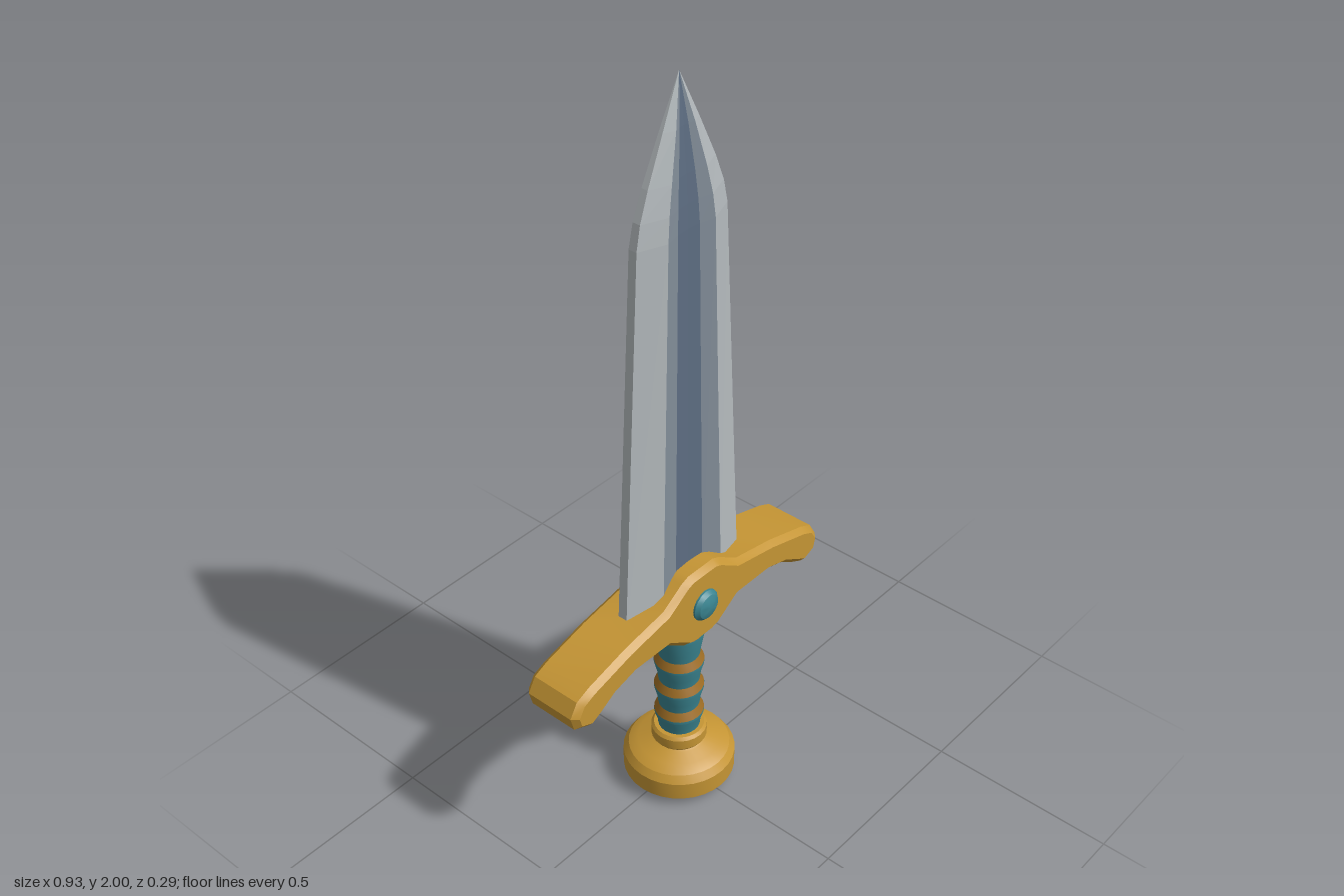
import * as THREE from 'three';
import { toCreasedNormals } from 'three/addons/utils/BufferGeometryUtils.js';

const material = (name, color) => {
  const m = new THREE.MeshStandardMaterial({ color });
  m.name = name;
  return m;
};

export function createModel() {
  const gold = material('gold', 0xc59534);
  const teal = material('teal', 0x3a8490);
  const bronze = material('bronze', 0x9c6c24);
  const lightSteel = material('light steel', 0xb4babd);
  const midSteel = material('mid steel', 0x828d98);
  const darkSteel = material('dark steel', 0x5d6d82);

  const model = new THREE.Group();
  model.name = 'sword';
  const add = (name, geometry, mat, parent = model) => {
    const mesh = new THREE.Mesh(geometry, mat);
    mesh.name = name;
    parent.add(mesh);
    return mesh;
  };
  // Turned part from [radius, height] points, bottom to top
  const turned = (points, sides = 24) => toCreasedNormals(
    new THREE.LatheGeometry(points.map(p => new THREE.Vector2(...p)), sides), 0.4);

  // Blade: rows of [height, half width, thickness scale]
  const rows = [
    [0.6, 0.209, 1], [1.64, 0.149, 0.86], [1.7, 0.136, 0.8],
    [1.77, 0.109, 0.68], [1.88, 0.058, 0.42], [2, 0, 0],
  ];
  // Half cross-section: [fraction of half width, half thickness]
  const section = [[0, 0.03], [0.24, 0.033], [0.52, 0.044], [1, 0.013]];
  const blade = new THREE.Group();
  blade.name = 'blade';
  model.add(blade);

  // One lengthwise strip of the blade between two section points
  const strip = (a, b, out) => {
    const at = ([y, w, t], [fx, z]) => [fx * w, y, z * t];
    for (let i = 0; i < rows.length - 1; i++) {
      const p = at(rows[i], a), q = at(rows[i], b);
      const r = at(rows[i + 1], b), s = at(rows[i + 1], a);
      out.push(...p, ...q, ...r);
      if (rows[i + 1][1] > 0) out.push(...p, ...r, ...s);
    }
  };
  const bladePart = (name, mat, pairs) => {
    const out = [];
    for (const [a, b] of pairs) {
      const mirror = ([x, z]) => [-x, z], turn = ([x, z]) => [-x, -z], back = ([x, z]) => [x, -z];
      strip(a, b, out);
      strip(mirror(b), mirror(a), out);
      strip(turn(a), turn(b), out);
      strip(back(b), back(a), out);
    }
    const g = new THREE.BufferGeometry();
    g.setAttribute('position', new THREE.Float32BufferAttribute(out, 3));
    g.computeVertexNormals();
    add(name, g, mat, blade);
  };
  bladePart('fuller', darkSteel, [[section[0], section[1]]]);
  bladePart('fullerSlopes', midSteel, [[section[1], section[2]]]);
  bladePart('cuttingEdges', lightSteel, [[section[2], section[3]], [section[3], [1, 0]]]);

  // Crossguard: mirrored outline with a chamfered extrusion
  const half = [
    [0.045, 0.72], [0.07, 0.71], [0.135, 0.667], [0.27, 0.642], [0.4, 0.606], [0.44, 0.588],
    [0.463, 0.55], [0.452, 0.51], [0.405, 0.49], [0.37, 0.507], [0.32, 0.537],
    [0.25, 0.556], [0.13, 0.555], [0.06, 0.508], [0.03, 0.5],
  ];
  const outline = [...half, ...half.slice().reverse().map(([x, y]) => [-x, y])];
  const guard = new THREE.ExtrudeGeometry(
    new THREE.Shape(outline.map(p => new THREE.Vector2(...p))),
    { depth: 0.136, bevelEnabled: true, bevelThickness: 0.015, bevelSize: 0.015, bevelOffset: -0.015, bevelSegments: 1 });
  guard.translate(0, 0, -0.068);
  add('crossguard', toCreasedNormals(guard, 0.5), gold);

  // Round gems on both faces of the guard
  for (const side of [1, -1]) {
    const gem = add('gem', turned([[0.043, 0], [0.043, 0.012], [0.034, 0.022], [0.02, 0.028], [0, 0.03]], 16), teal);
    gem.rotation.x = side * Math.PI / 2;
    gem.position.set(0, 0.612, side * 0.076);
  }

  // Grip: flared leather sections, each topped by a sloping bronze ring
  const tops = [0.24, 0.325, 0.41, 0.51];
  let low = 0.16;
  for (const top of tops) {
    const rim = top - 0.022;
    add('gripSection', turned([[0.054, low], [0.057, low + 0.025], [0.065, rim - 0.008], [0.065, rim]]), teal);
    add('gripRing', turned([[0.065, rim], [0.054, top]]), bronze);
    low = top;
  }

  // Pommel with its collar
  add('pommel', turned([
    [0, 0], [0.117, 0], [0.147, 0.025], [0.147, 0.075], [0.133, 0.095], [0.108, 0.11],
    [0.073, 0.12], [0.066, 0.124],
  ], 32), gold);
  add('pommelCollar', turned([[0.066, 0.12], [0.073, 0.13], [0.073, 0.158], [0.066, 0.166], [0, 0.166]]), gold);

  return model;
}
